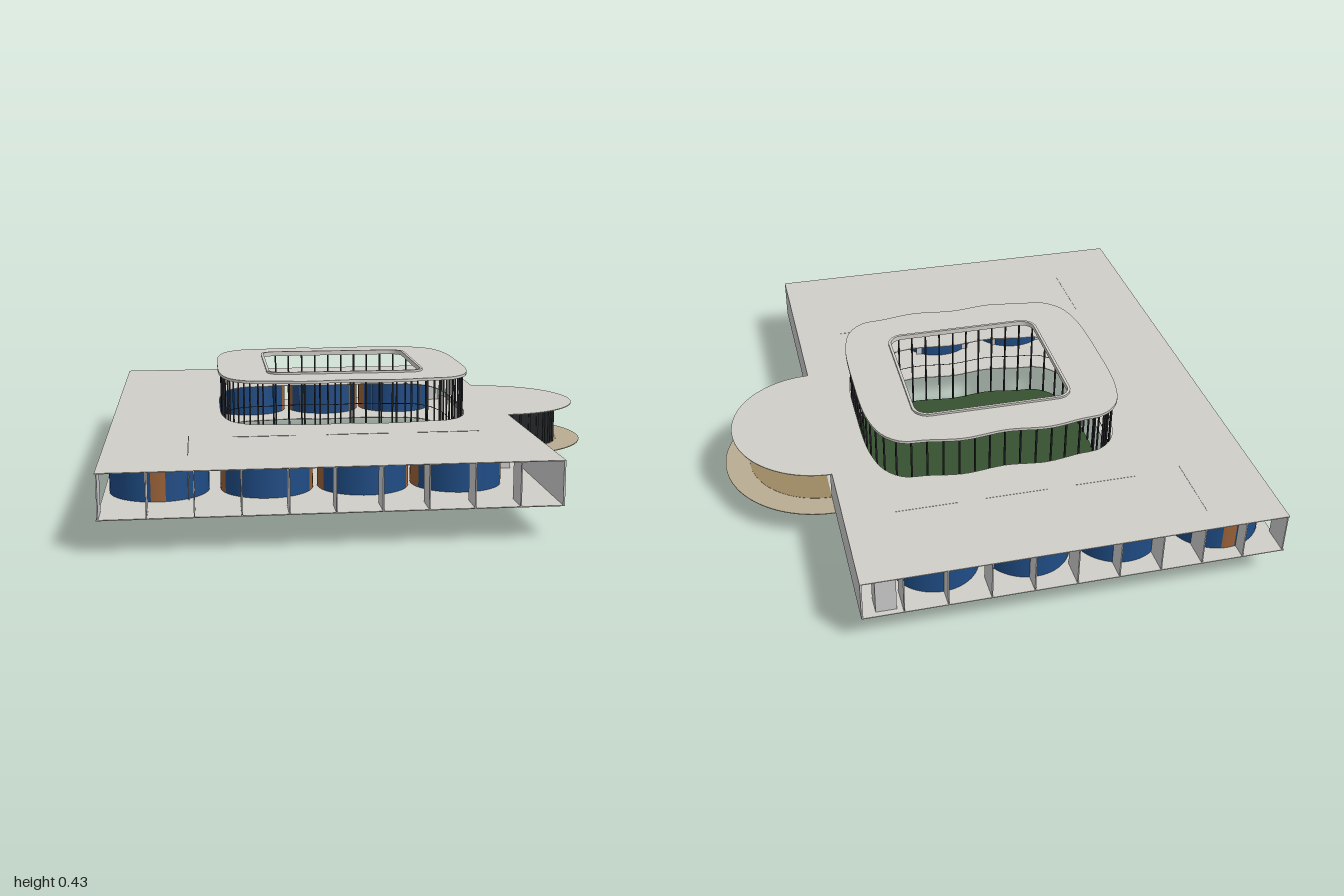
import * as THREE from 'three';

const mat = (color) => new THREE.MeshStandardMaterial({ color, side: THREE.DoubleSide });
const GREY = mat(0xcccccc), SLAB = mat(0xd0cec8), BLUE = mat(0x1f4c85), WOOD = mat(0x9a6238);
const DARK = mat(0x222326), GREEN = mat(0x355130), SAND = mat(0xb9ad92), EARTH = mat(0x9c8962);
const DESK = mat(0xba8b58), BASE = mat(0x9a958c);

const FLOOR = 0.11, ROOF = 0.26, H = ROOF - FLOOR, CZ = -0.09;

export function createModel() {
  const group = new THREE.Group();

  const add = (name, geometry, material, x = 0, y = 0, z = 0) => {
    const mesh = new THREE.Mesh(geometry, material);
    mesh.name = name;
    mesh.position.set(x, y, z);
    group.add(mesh);
    return mesh;
  };
  const box = (name, m, w, h, d, x, y, z) => add(name, new THREE.BoxGeometry(w, h, d), m, x, y, z);

  // Horizontal plate from a plan outline of (x, z) points, with holes
  const plate = (name, m, outline, holes, y, t) => {
    const flip = (pts) => pts.map((p) => new THREE.Vector2(p.x, -p.y));
    const shape = new THREE.Shape(flip(outline));
    holes.forEach((h) => shape.holes.push(new THREE.Path(flip(h))));
    const geo = new THREE.ExtrudeGeometry(shape, { depth: t, bevelEnabled: false });
    geo.rotateX(-Math.PI / 2);
    return add(name, geo, m, 0, y, 0);
  };
  const roundRect = (x0, x1, z0, z1, r) => {
    const s = new THREE.Shape();
    s.absarc(x1 - r, z1 - r, r, 0, Math.PI / 2);
    s.absarc(x0 + r, z1 - r, r, Math.PI / 2, Math.PI);
    s.absarc(x0 + r, z0 + r, r, Math.PI, Math.PI * 1.5);
    s.absarc(x1 - r, z0 + r, r, Math.PI * 1.5, Math.PI * 2);
    return s.getPoints(10);
  };
  const halfDisc = (r) => {
    const s = new THREE.Shape();
    s.absarc(0.55, CZ, r, -Math.PI / 2, Math.PI / 2);
    return s.getPoints(40);
  };

  // Wavy courtyard outline, mirrored front to back
  const half = [[-0.53, -0.09], [-0.52, -0.33], [-0.485, -0.44], [-0.42, -0.495], [-0.34, -0.505],
    [-0.21, -0.525], [-0.06, -0.51], [0.1, -0.525], [0.23, -0.505], [0.31, -0.495], [0.37, -0.44],
    [0.405, -0.33], [0.415, -0.09]];
  const mirrored = half.slice(1, -1).reverse().map(([x, z]) => [x, 2 * CZ - z]);
  const curve = new THREE.CatmullRomCurve3(
    [...half, ...mirrored].map(([x, z]) => new THREE.Vector3(x, 0, z)), true, 'centripetal');
  const court = (scale, n = 120) => curve.getSpacedPoints(n).slice(0, n).map((p) =>
    new THREE.Vector2(-0.058 + (p.x + 0.058) * scale, CZ + (p.z - CZ) * scale));

  // Main floor and roof
  const rect = [[-0.92, -1], [0.55, -1], [0.55, 1], [-0.92, 1]].map(([x, z]) => new THREE.Vector2(x, z));
  plate('floorSlab', SLAB, rect, [court(0.985)], FLOOR, 0.003);
  plate('roofSlab', SLAB, rect, [court(0.985)], ROOF - 0.003, 0.003);

  // Courtyard: lawn, posts, rail, raised ring roof and skylight rim
  plate('lawn', GREEN, court(0.975), [], 0, 0.003);
  court(0.97, 56).forEach((p) => box('courtyardPost', DARK, 0.006, 0.41, 0.006, p.x, 0.205, p.y));
  const railPath = new THREE.CatmullRomCurve3(
    court(0.97, 60).map((p) => new THREE.Vector3(p.x, 0.175, p.y)), true);
  add('courtyardRail', new THREE.TubeGeometry(railPath, 120, 0.0015, 4, true), DARK);
  const opening = roundRect(-0.34, 0.23, -0.36, 0.175, 0.05);
  plate('ringRoof', SLAB, court(1), [opening], 0.41, 0.01);
  plate('skylightRim', SLAB, roundRect(-0.35, 0.24, -0.37, 0.185, 0.06), [opening], 0.42, 0.008);

  // Side walls on the entrance side
  box('sideWall', GREY, 0.006, H, 0.82, 0.547, FLOOR + H / 2, 0.59);
  box('sideWall', GREY, 0.006, H, 0.65, 0.547, FLOOR + H / 2, -0.675);

  // Rows of fins along both ends
  for (const end of [-1, 1]) {
    for (let i = 0; i < 10; i++) {
      box('fin', GREY, 0.004, H - 0.006, 0.1, -0.915 + i * 0.147, FLOOR + H / 2, end * 0.948);
    }
  }

  // Round rooms: blue walls with wooden doors on two opposite sides
  const room = (x, z, r, turn, blueArc) => {
    const g = new THREE.Group();
    g.name = 'roundRoom';
    const arc = (name, m, start, length) => {
      const mesh = new THREE.Mesh(
        new THREE.CylinderGeometry(r, r, H - 0.002, 24, 1, true, start, length), m);
      mesh.name = name;
      mesh.position.y = FLOOR + H / 2;
      g.add(mesh);
    };
    for (const s of [0, Math.PI]) {
      arc('roomWall', BLUE, s - blueArc / 2, blueArc);
      arc('roomDoor', WOOD, s + blueArc / 2, Math.PI - blueArc);
    }
    const base = new THREE.Mesh(new THREE.CylinderGeometry(r, r, 0.003, 40), BASE);
    base.name = 'roomBase';
    base.position.y = FLOOR;
    g.add(base);
    g.position.set(x, 0, z);
    g.rotation.y = turn;
    group.add(g);
  };
  for (const x of [-0.38, -0.055, 0.265]) {
    room(x, 0.645, 0.155, 0, 2.23);
    room(x, -0.78, 0.155, 0, 2.23);
    box('roomPanel', GREY, 0.22, H, 0.003, x, FLOOR + H / 2 + 0.001, 0.52);
    box('roomPanel', GREY, 0.22, H, 0.003, x, FLOOR + H / 2 + 0.001, -0.67);
  }
  room(-0.737, 0.64, 0.165, Math.PI / 2, 2.85);
  room(-0.737, -0.78, 0.165, Math.PI / 2, 2.85);
  box('roomPanel', GREY, 0.003, H, 0.3, -0.64, FLOOR + H / 2 + 0.001, 0.64);
  box('roomPanel', GREY, 0.003, H, 0.26, -0.66, FLOOR + H / 2 + 0.001, -0.78);

  // Small service cores and partitions
  for (const [x, z, w, d] of [[0.465, 0.44, 0.07, 0.08], [0.465, -0.945, 0.07, 0.07],
    [-0.74, 0.31, 0.1, 0.06], [-0.85, -0.03, 0.12, 0.005], [-0.85, -0.4, 0.12, 0.005]]) {
    box('partition', GREY, w, H - 0.006, d, x, FLOOR + H / 2, z);
  }

  // Entrance pavilion: terrace, canopy, curved dark screen and round desk
  plate('terrace', SAND, halfDisc(0.36), [], FLOOR, 0.003);
  plate('terraceInlay', EARTH, halfDisc(0.27), [], FLOOR - 0.001, 0.005);
  plate('canopy', SLAB, halfDisc(0.325), [], ROOF - 0.003, 0.003);
  add('curvedScreen', new THREE.CylinderGeometry(0.265, 0.265, H - 0.004, 20, 1, true, 0.1, 0.9),
    DARK, 0.55, FLOOR + H / 2, CZ);
  for (let i = 0; i <= 6; i++) {
    const a = 0.1 + i * 0.15;
    box('screenPost', DARK, 0.008, H - 0.004, 0.008,
      0.55 + 0.267 * Math.sin(a), FLOOR + H / 2, CZ + 0.267 * Math.cos(a));
  }
  add('roundDesk', new THREE.CylinderGeometry(0.056, 0.056, 0.08, 32), DESK, 0.66, FLOOR + 0.04, CZ);

  return group;
}
